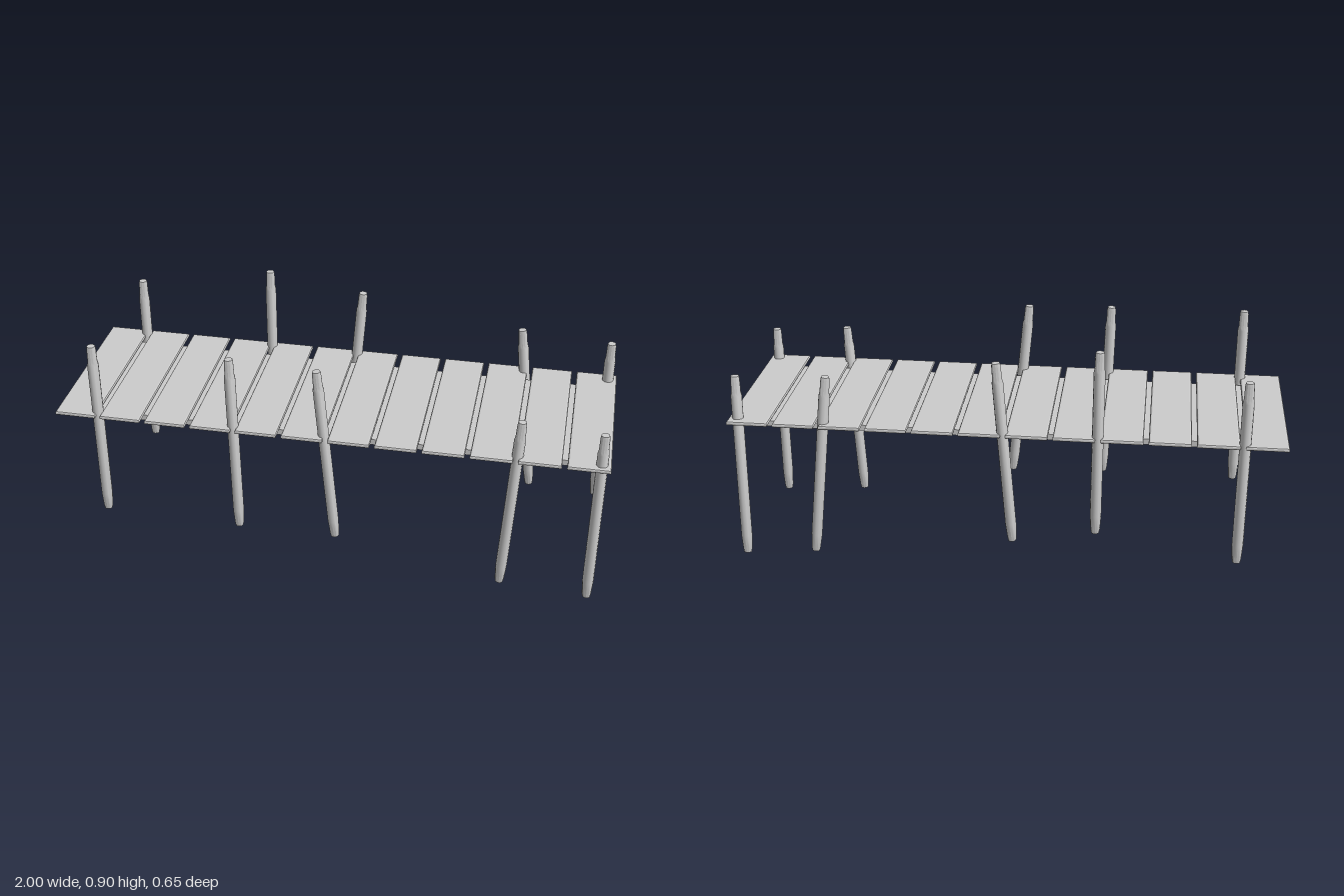
import * as THREE from 'three';
import { toCreasedNormals } from 'three/addons/utils/BufferGeometryUtils.js';

const material = new THREE.MeshStandardMaterial({ color: 0xcccccc });

function part(geometry, name) {
  const mesh = new THREE.Mesh(geometry, material);
  mesh.name = name;
  return mesh;
}

// Thin board with chamfered edges, lying flat
function plankGeometry(width, length, thickness, bevel) {
  const x = width / 2 - bevel, z = length / 2 - bevel;
  const shape = new THREE.Shape([
    new THREE.Vector2(-x, -z), new THREE.Vector2(x, -z),
    new THREE.Vector2(x, z), new THREE.Vector2(-x, z),
  ]);
  const geo = new THREE.ExtrudeGeometry(shape, {
    depth: thickness - 0.01, bevelEnabled: true,
    bevelThickness: 0.005, bevelSize: bevel, bevelSegments: 2,
  });
  return geo.center().rotateX(-Math.PI / 2);
}

// Round pole, tapered at both ends, centred on its own middle
function postGeometry(length) {
  const h = length / 2;
  const profile = [
    [0, -h], [0.0145, -h], [0.017, -h + 0.015], [0.0205, -h + 0.07],
    [0.0205, h - 0.075], [0.0175, h - 0.06], [0.0165, h - 0.012], [0.0145, h], [0, h],
  ].map(([r, y]) => new THREE.Vector2(r, y));
  return toCreasedNormals(new THREE.LatheGeometry(profile, 12), 0.6);
}

// A post standing between two points
function post(bottom, top, name) {
  const a = new THREE.Vector3(...bottom), b = new THREE.Vector3(...top);
  const mesh = part(postGeometry(a.distanceTo(b)), name);
  mesh.position.copy(a).add(b).multiplyScalar(0.5);
  mesh.quaternion.setFromUnitVectors(new THREE.Vector3(0, 1, 0), b.sub(a).normalize());
  return mesh;
}

export function createModel() {
  const model = new THREE.Group();
  model.name = 'woodenDock';

  // Deck planks
  const planks = new THREE.Group();
  planks.name = 'deckPlanks';
  const count = 12, width = 0.15, pitch = (2 - width) / (count - 1);
  const plankGeo = plankGeometry(width, 0.648, 0.015, 0.007);
  for (let i = 0; i < count; i++) {
    const plank = part(plankGeo, 'plank');
    plank.position.set(-1 + width / 2 + i * pitch, 0.576, 0);
    planks.add(plank);
  }
  model.add(planks);

  // Supporting board under the deck
  const board = part(new THREE.BoxGeometry(1.91, 0.022, 0.514), 'underBoard');
  board.position.set(-0.025, 0.553, 0);
  model.add(board);

  // Posts: bottom and top points along each side
  const frontPosts = [
    [[-0.848, 0.15, 0.29], [-0.848, 0.855, 0.29]],
    [[-0.331, 0.15, 0.302], [-0.348, 0.853, 0.284]],
    [[0.03, 0.143, 0.29], [-0.034, 0.843, 0.29]],
    [[0.646, 0.022, 0.29], [0.685, 0.724, 0.29]],
    [[0.967, 0, 0.29], [0.967, 0.705, 0.29]],
  ];
  const backPosts = [
    [[-0.848, 0.11, -0.3], [-0.848, 0.815, -0.3]],
    [[-0.335, 0.2, -0.3], [-0.335, 0.904, -0.3]],
    [[-0.033, 0.149, -0.3], [0.025, 0.848, -0.3]],
    [[0.706, 0.06, -0.3], [0.634, 0.761, -0.287]],
    [[0.967, 0.04, -0.307], [0.967, 0.744, -0.275]],
  ];
  frontPosts.forEach(([a, b]) => model.add(post(a, b, 'frontPost')));
  backPosts.forEach(([a, b]) => model.add(post(a, b, 'backPost')));

  return model;
}
